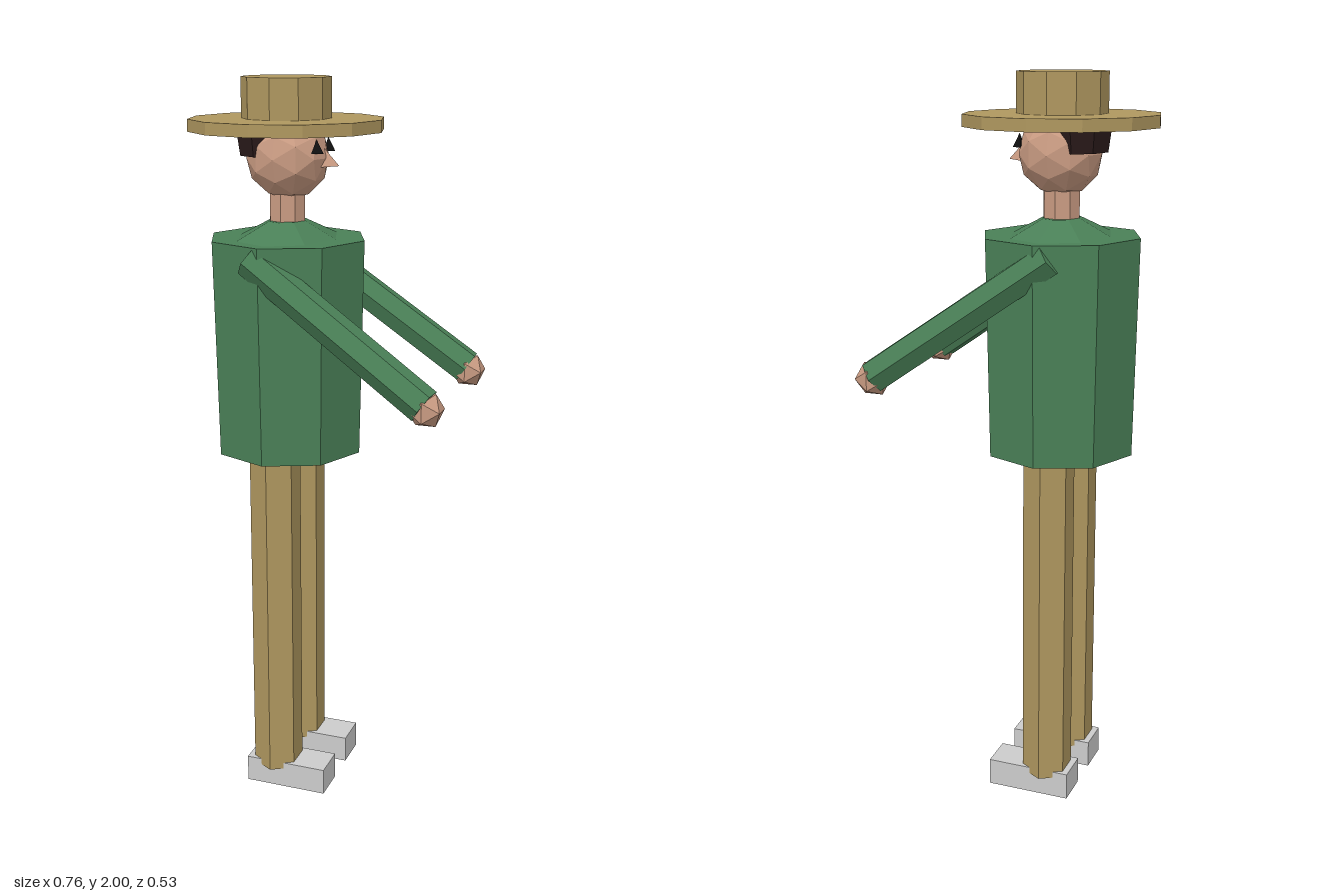
import * as THREE from 'three';

export function createModel() {
  const root = new THREE.Group();
  root.name = 'strawHatFigure';

  const material = (name, color) => {
    const m = new THREE.MeshStandardMaterial({ color, flatShading: true });
    m.name = name;
    return m;
  };
  const straw = material('straw tan', 0xaf975f);
  const green = material('coat green', 0x4a8057);
  const skin = material('skin', 0xc99b82);
  const grey = material('shoe grey', 0xcccccc);
  const dark = material('hair brown', 0x2b1b1b);
  const black = material('eye black', 0x111111);

  const cx = -0.12; // body axis; the figure looks along +x

  const add = (name, geometry, mat, x, y, z) => {
    const mesh = new THREE.Mesh(geometry, mat);
    mesh.name = name;
    mesh.position.set(x, y, z);
    root.add(mesh);
    return mesh;
  };
  // Upright prism between two heights
  const prism = (name, rTop, rBottom, y0, y1, sides, mat, x = cx, z = 0) =>
    add(name, new THREE.CylinderGeometry(rTop, rBottom, y1 - y0, sides), mat, x, (y0 + y1) / 2, z);

  // Hat
  prism('hatBrim', 0.26, 0.26, 1.863, 1.895, 12, straw);
  prism('hatCrown', 0.119, 0.119, 1.89, 2.0, 10, straw);

  // Head, hair and neck
  add('head', new THREE.IcosahedronGeometry(0.111, 1), skin, -0.117, 1.795, 0);
  prism('hair', 0.078, 0.068, 1.8, 1.872, 8, dark, -0.177).scale.z = 1.36;
  prism('neck', 0.05, 0.05, 1.58, 1.72, 8, skin);

  // Nose: three-sided cone with one corner up, pointing along +x
  const noseShape = new THREE.ConeGeometry(0.032, 0.05, 3);
  noseShape.rotateY(-Math.PI / 2).rotateZ(-Math.PI / 2);
  add('nose', noseShape, skin, 0.002, 1.782, 0).rotation.z = -0.25;

  // Eyes: small dark triangles on the face
  for (const s of [1, -1]) {
    const eyeShape = new THREE.ConeGeometry(0.019, 0.036, 3);
    eyeShape.rotateY(Math.PI / 2);
    add(s > 0 ? 'leftEye' : 'rightEye', eyeShape, black, -0.02, 1.828, 0.045 * s);
  }

  // Coat: octagonal body with a sloped collar piece
  prism('coat', 0.217, 0.206, 1.0, 1.585, 8, green);
  const collar = prism('collar', 0.05, 0.145, 1.58, 1.63, 8, green);
  collar.scale.z = 1.3;

  // Arms reaching forward and down, ending in faceted hands
  const up = new THREE.Vector3(0, 1, 0);
  for (const s of [1, -1]) {
    const side = s > 0 ? 'front' : 'back';
    const a = new THREE.Vector3(-0.155, 1.55, 0.182 * s);
    const b = new THREE.Vector3(0.33, 1.213, 0.218 * s);
    const dir = b.clone().sub(a);
    const mid = a.clone().add(b).multiplyScalar(0.5);
    const arm = add(side + 'Arm', new THREE.CylinderGeometry(0.048, 0.046, dir.length(), 6),
      green, mid.x, mid.y, mid.z);
    arm.quaternion.setFromUnitVectors(up, dir.normalize());
    add(side + 'Hand', new THREE.IcosahedronGeometry(0.05, 0), skin, 0.334, 1.205, 0.217 * s);

    // Legs and shoes
    const z = 0.097 * s + 0.005;
    prism(side + 'Leg', 0.07, 0.07, 0.058, 1.01, 6, straw, -0.123, z);
    add(side + 'Shoe', new THREE.BoxGeometry(0.236, 0.076, 0.1), grey, -0.083, 0.038, z);
  }
  return root;
}
